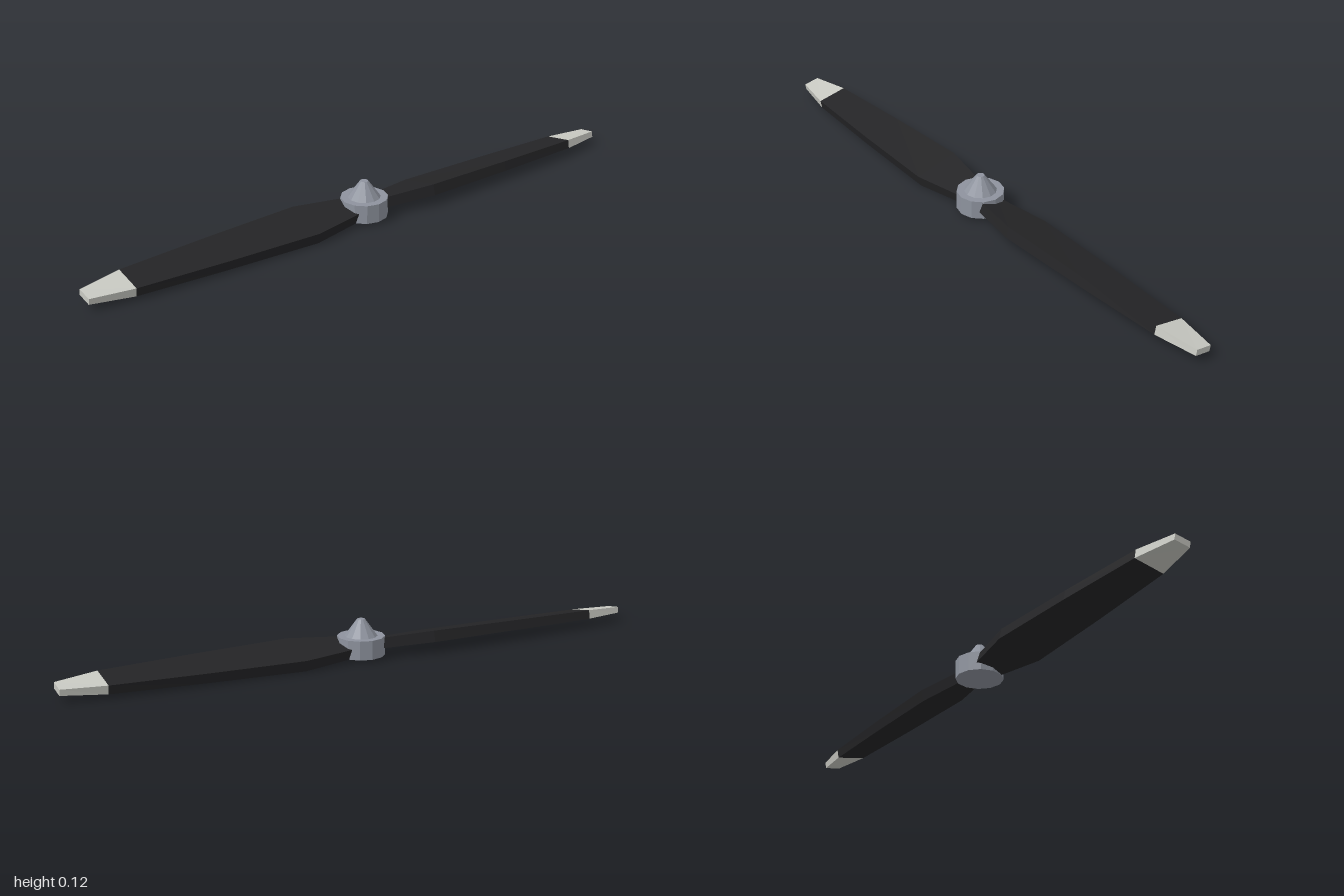
import * as THREE from 'three';

const BLADE_Y = 0.0365;
const hubMat = new THREE.MeshStandardMaterial({ color: 0x8e939e, flatShading: true });
const bladeMat = new THREE.MeshStandardMaterial({ color: 0x242426, flatShading: true });
const tipMat = new THREE.MeshStandardMaterial({ color: 0xc8c9c2, flatShading: true });

// Loft of pitched rectangles; each section is [x, half chord, half thickness, pitch in degrees]
function loft(sections) {
  const rings = sections.map(([x, chord, thick, pitch]) => {
    const a = THREE.MathUtils.degToRad(pitch);
    return [[-1, -1], [-1, 1], [1, 1], [1, -1]].map(([su, sv]) => {
      const u = su * chord, v = sv * thick;
      return [x, u * Math.sin(a) + v * Math.cos(a), u * Math.cos(a) - v * Math.sin(a)];
    });
  });
  const pos = [];
  const quad = (a, b, c, d) => pos.push(...a, ...b, ...c, ...a, ...c, ...d);
  for (let s = 0; s < rings.length - 1; s++) {
    for (let k = 0; k < 4; k++) {
      const n = (k + 1) % 4;
      quad(rings[s][k], rings[s][n], rings[s + 1][n], rings[s + 1][k]);
    }
  }
  quad(...[...rings[0]].reverse());
  quad(...rings[rings.length - 1]);
  const geo = new THREE.BufferGeometry();
  geo.setAttribute('position', new THREE.Float32BufferAttribute(pos, 3));
  geo.computeVertexNormals();
  return geo;
}

function addMesh(parent, name, geo, mat, y = 0) {
  const mesh = new THREE.Mesh(geo, mat);
  mesh.name = name;
  mesh.position.y = y;
  parent.add(mesh);
}

export function createModel() {
  const group = new THREE.Group();
  group.name = 'propeller';

  // Hub drum and tapered nose
  addMesh(group, 'hub', new THREE.CylinderGeometry(0.077, 0.077, 0.062, 12), hubMat, 0.039);
  addMesh(group, 'noseCone', new THREE.CylinderGeometry(0.013, 0.053, 0.055, 12), hubMat, 0.0975);

  // Two opposed blades with pale tips
  const bladeGeo = loft([
    [0.03, 0.041, 0.0165, 15],
    [0.23, 0.0759, 0.0185, 14],
    [0.55, 0.066, 0.0165, 12.5],
    [0.86, 0.051, 0.0145, 11],
  ]);
  const tipGeo = loft([
    [0.86, 0.051, 0.0145, 11],
    [1.0, 0.027, 0.01, 9.5],
  ]);
  ['left', 'right'].forEach((side, i) => {
    const blade = new THREE.Group();
    blade.name = side + 'BladeAssembly';
    blade.position.y = BLADE_Y;
    blade.rotation.y = i * Math.PI;
    addMesh(blade, side + 'Blade', bladeGeo, bladeMat);
    addMesh(blade, side + 'BladeTip', tipGeo, tipMat);
    group.add(blade);
  });

  return group;
}
